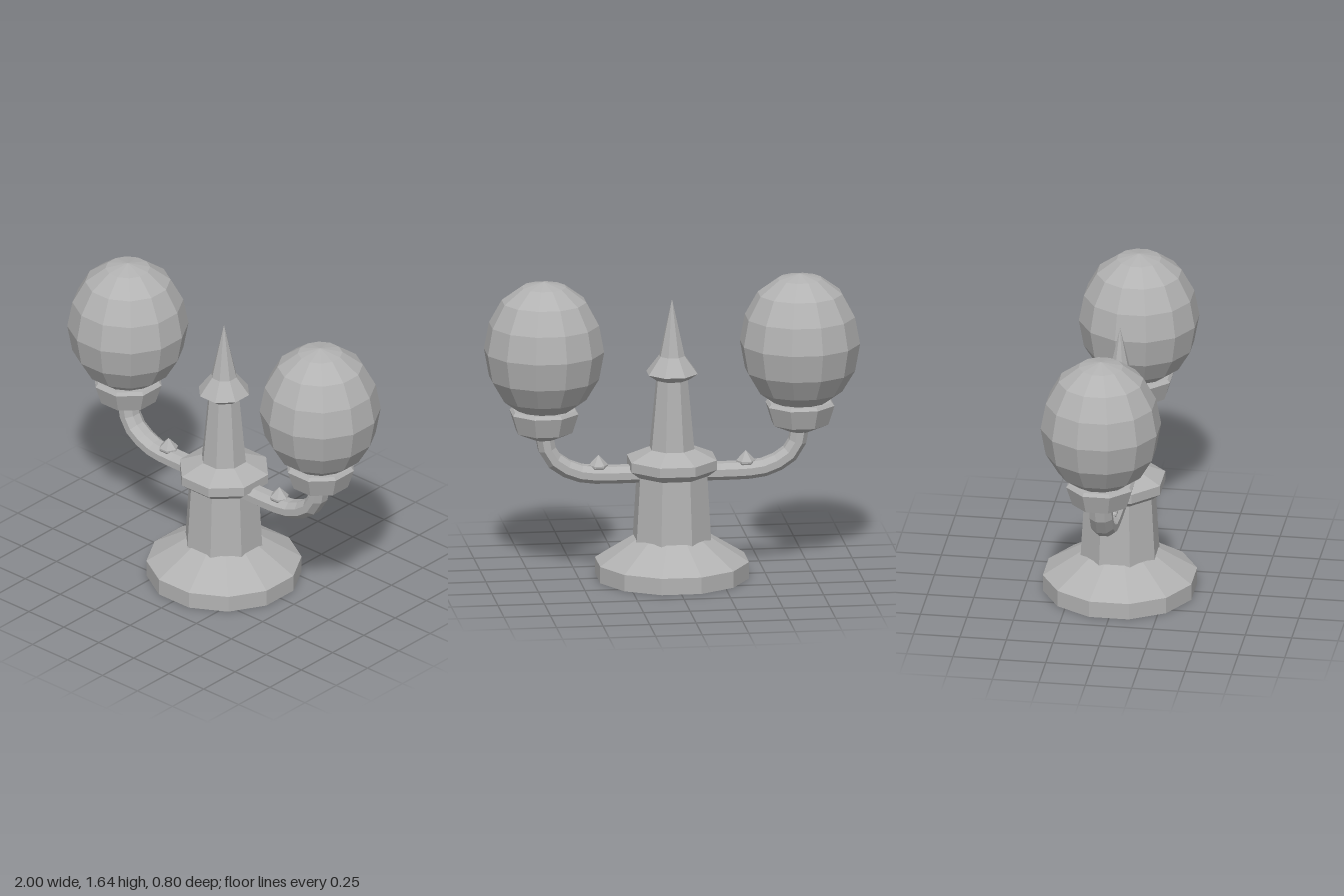
import * as THREE from 'three';

const metal = new THREE.MeshStandardMaterial({ color: 0xb2b2b2 });
metal.name = 'plainGrey';

// Faceted mesh with one normal per face
function faceted(name, geometry) {
  const g = geometry.index ? geometry.toNonIndexed() : geometry;
  g.computeVertexNormals();
  const mesh = new THREE.Mesh(g, metal);
  mesh.name = name;
  return mesh;
}

// Turned part with flats facing the axes; profile is [apothem, y] from the bottom up
function turned(name, sides, profile) {
  const k = 1 / Math.cos(Math.PI / sides);
  const points = profile.map(([r, y]) => new THREE.Vector2(r * k, y));
  return faceted(name, new THREE.LatheGeometry(points, sides, Math.PI / sides));
}

// One side: curved arm, small finial, cup and globe
function createLamp(name) {
  const lamp = new THREE.Group();
  lamp.name = name;

  const path = new THREE.CatmullRomCurve3(
    [[0.1, 0.572], [0.38, 0.572], [0.48, 0.58], [0.585, 0.622], [0.66, 0.69], [0.687, 0.8]]
      .map(([x, y]) => new THREE.Vector3(x, y, 0)));
  const section = new THREE.Shape();
  for (let i = 0; i < 8; i++) {
    const a = (i + 0.5) * Math.PI / 4, k = 1 / Math.cos(Math.PI / 8);
    const x = Math.cos(a) * 0.06 * k, y = Math.sin(a) * 0.046 * k;
    if (i) section.lineTo(x, y); else section.moveTo(x, y);
  }
  section.closePath();
  lamp.add(faceted('arm', new THREE.ExtrudeGeometry(section, { steps: 9, extrudePath: path })));

  const finial = turned('armFinial', 6, [[0, 0.57], [0.02, 0.57], [0.045, 0.615], [0.045, 0.625], [0, 0.68]]);
  finial.position.x = 0.396;
  lamp.add(finial);

  const cup = turned('globeCup', 8, [
    [0, 0.775], [0.05, 0.775], [0.145, 0.82], [0.176, 0.925], [0.163, 0.942], [0, 0.942]]);
  const globe = turned('globe', 12, [
    [0, 0.93], [0.14, 0.94], [0.22, 1.0], [0.286, 1.115], [0.3125, 1.265],
    [0.286, 1.41], [0.22, 1.535], [0.115, 1.615], [0, 1.642]]);
  for (const part of [cup, globe]) {
    part.position.x = 0.6875;
    lamp.add(part);
  }
  return lamp;
}

export function createModel() {
  const model = new THREE.Group();
  model.name = 'twinLamp';

  // Central post
  model.add(
    turned('base', 12, [[0, 0], [0.4, 0], [0.4, 0.09], [0.2, 0.22], [0, 0.22]]),
    turned('lowerColumn', 8, [[0.2, 0.21], [0.18, 0.57]]),
    turned('collar', 8, [[0, 0.562], [0.185, 0.562], [0.23, 0.6], [0.23, 0.652], [0.115, 0.706], [0, 0.706]]),
    turned('upperColumn', 8, [[0.115, 0.7], [0.08, 1.09]]),
    turned('spire', 8, [[0, 1.085], [0.085, 1.085], [0.131, 1.12], [0.065, 1.214], [0, 1.525]]),
  );

  // Two matching lamps
  const left = createLamp('leftLamp');
  const right = createLamp('rightLamp');
  right.rotation.y = Math.PI;
  model.add(left, right);
  return model;
}
